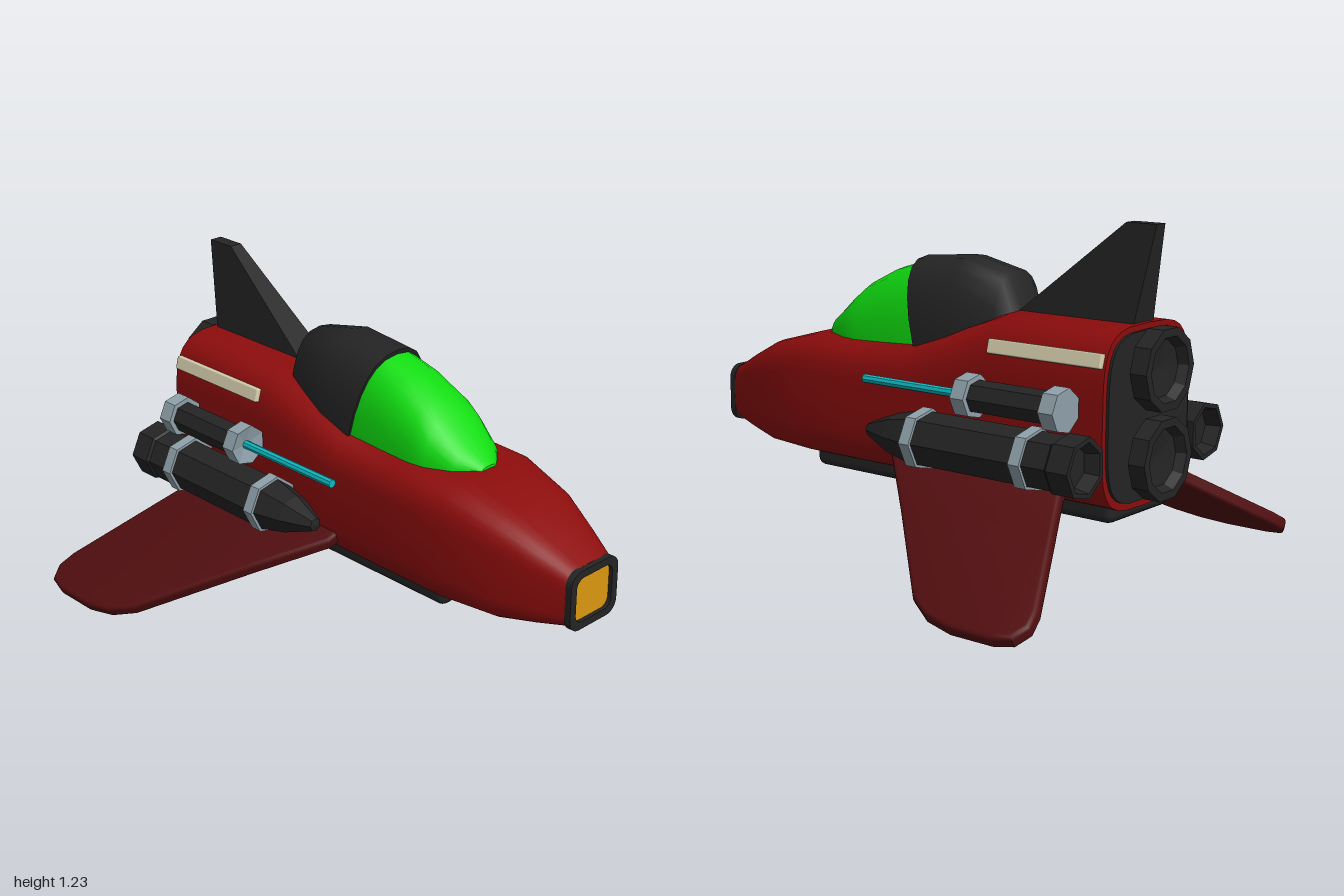
import * as THREE from 'three';
import { toCreasedNormals } from 'three/addons/utils/BufferGeometryUtils.js';
import { RoundedBoxGeometry } from 'three/addons/geometries/RoundedBoxGeometry.js';

const mat = (name, color) => {
  const m = new THREE.MeshStandardMaterial({ color });
  m.name = name;
  return m;
};

// Closed loft along x. Each section: [x, lean, halfWidth, bottom, middle, top]
function loft(sections, power, sides = 24) {
  const pos = [], idx = [];
  const ring = ([x, lean, hw, bottom, mid, top]) => {
    for (let j = 0; j < sides; j++) {
      const a = (j / sides) * Math.PI * 2, c = Math.cos(a), s = Math.sin(a);
      const k = (v) => Math.sign(v) * Math.pow(Math.abs(v), 2 / power);
      const y = mid + k(s) * (s > 0 ? top - mid : mid - bottom);
      pos.push(x + lean * (y - mid), y, hw * k(c));
    }
  };
  sections.forEach(ring);
  for (let i = 0; i < sections.length - 1; i++) {
    for (let j = 0; j < sides; j++) {
      const n = (j + 1) % sides;
      const a = i * sides + j, b = a + sides, c = i * sides + n, d = c + sides;
      idx.push(a, b, c, b, d, c);
    }
  }
  // flat end caps on their own vertices
  [sections[0], sections[sections.length - 1]].forEach((sec, end) => {
    const base = pos.length / 3;
    ring(sec);
    for (let j = 1; j < sides - 1; j++) {
      if (end) idx.push(base, base + j + 1, base + j);
      else idx.push(base, base + j, base + j + 1);
    }
  });
  const g = new THREE.BufferGeometry();
  g.setAttribute('position', new THREE.Float32BufferAttribute(pos, 3));
  g.setIndex(idx);
  g.computeVertexNormals();
  return g;
}

// Faceted solid of revolution about x; profile points are [x, radius], back to front
function turned(profile, sides) {
  const g = new THREE.LatheGeometry(profile.map(([x, r]) => new THREE.Vector2(r, x)), sides)
    .rotateZ(-Math.PI / 2).toNonIndexed();
  g.computeVertexNormals();
  return g;
}
const tube = (x0, x1, r, sides) => turned([[x0, 0], [x0, r], [x1, r], [x1, 0]], sides);

function roundedRect(hw, hh, r, Type = THREE.Shape) {
  const p = new Type();
  p.absarc(hw - r, hh - r, r, 0, Math.PI / 2);
  p.absarc(r - hw, hh - r, r, Math.PI / 2, Math.PI);
  p.absarc(r - hw, r - hh, r, Math.PI, Math.PI * 1.5);
  p.absarc(hw - r, r - hh, r, Math.PI * 1.5, Math.PI * 2);
  p.closePath();
  return p;
}

export function createModel() {
  const model = new THREE.Group();
  model.name = 'spaceship';
  const red = mat('hull red', 0x8c0c0c), darkRed = mat('wing dark red', 0x520e10);
  const black = mat('charcoal', 0x242424), green = mat('canopy green', 0x10dc10);
  const steel = mat('steel', 0x8fa1aa), cyan = mat('barrel cyan', 0x0fb9c1);
  const cream = mat('stripe cream', 0xd9d1b0), orange = mat('nose orange', 0xdc980f);

  const add = (name, geometry, material, parent = model) => {
    const m = new THREE.Mesh(geometry, material);
    m.name = name;
    parent.add(m);
    return m;
  };

  // Hull
  add('hull', loft([
    [-0.89, 0, 0.26, 0.285, 0.58, 0.91],
    [-0.4, 0, 0.26, 0.285, 0.58, 0.91],
    [-0.02, 0, 0.26, 0.285, 0.53, 0.77],
    [0.25, 0, 0.26, 0.285, 0.52, 0.757],
    [0.5, 0, 0.258, 0.285, 0.515, 0.75],
    [0.72, 0, 0.217, 0.29, 0.49, 0.69],
    [0.86, 0, 0.167, 0.315, 0.465, 0.622],
    [0.98, 0, 0.12, 0.34, 0.448, 0.56],
  ], 4, 32), red);
  add('rearPlate', loft([
    [-0.9, 0, 0.24, 0.31, 0.58, 0.89],
    [-0.885, 0, 0.24, 0.31, 0.58, 0.89],
  ], 4, 32), black);
  add('keel', new RoundedBoxGeometry(1.35, 0.09, 0.36, 2, 0.03), black).position.set(-0.2, 0.29, 0);

  // Nose frame with recessed light
  const frame = roundedRect(0.122, 0.112, 0.05);
  frame.holes.push(roundedRect(0.093, 0.084, 0.035, THREE.Path));
  add('noseFrame', new THREE.ExtrudeGeometry(frame, { depth: 0.025, bevelEnabled: false, curveSegments: 4 })
    .rotateY(Math.PI / 2), black).position.set(0.975, 0.447, 0);
  add('noseLight', new THREE.ShapeGeometry(roundedRect(0.1, 0.09, 0.035), 4)
    .rotateY(Math.PI / 2), orange).position.set(0.985, 0.447, 0);

  // Canopy: dark rear shell and green glass, meeting on a leaning seam
  add('canopyShell', loft([
    [-0.39, 0, 0.11, 0.7, 0.74, 0.92],
    [-0.34, 0, 0.15, 0.7, 0.74, 1.04],
    [-0.15, 0, 0.18, 0.7, 0.74, 1.08],
    [-0.01, 0.25, 0.176, 0.7, 0.74, 1.06],
  ], 2.5), black);
  add('canopyGlass', loft([
    [-0.02, 0.25, 0.168, 0.7, 0.735, 1.045],
    [0.14, 0.12, 0.168, 0.7, 0.735, 1.01],
    [0.29, 0, 0.166, 0.7, 0.735, 0.95],
    [0.35, 0, 0.157, 0.7, 0.735, 0.9],
    [0.45, 0, 0.115, 0.7, 0.735, 0.815],
    [0.515, 0, 0.04, 0.7, 0.735, 0.757],
  ], 2.5), green);

  // Tail fin, thinning towards the top
  const finShape = new THREE.Shape([[-0.865, 0.88], [-0.36, 0.88], [-0.81, 1.24], [-0.93, 1.24]]
    .map(([x, y]) => new THREE.Vector2(x, y)));
  const fin = new THREE.ExtrudeGeometry(finShape, { depth: 2, bevelEnabled: false }).translate(0, 0, -1);
  const fp = fin.attributes.position;
  for (let i = 0; i < fp.count; i++) {
    fp.setZ(i, fp.getZ(i) * THREE.MathUtils.mapLinear(fp.getY(i), 0.88, 1.24, 0.062, 0.025));
  }
  fin.computeVertexNormals();
  add('tailFin', fin, black);

  // Two main engines, one above the other
  for (const y of [0.76, 0.455]) {
    add('mainEngine', turned([[-0.93, 0], [-0.945, 0.1], [-0.98, 0.115], [-0.98, 0.145],
      [-0.915, 0.145], [-0.91, 0.115], [-0.885, 0.115]], 10), black).position.y = y;
  }

  // Wing outline: x along the ship, y along the span
  const wingShape = new THREE.Shape([[-0.73, -0.08], [-0.02, -0.08], [0.01, -0.04], [0, 0.02],
    [-0.21, 0.245], [-0.53, 0.6], [-0.62, 0.655], [-0.73, 0.68], [-0.9, 0.68], [-0.97, 0.66],
    [-1, 0.6], [-0.985, 0.53], [-0.85, 0.235], [-0.76, 0.04]].map(([x, y]) => new THREE.Vector2(x, y)));
  const wing = toCreasedNormals(new THREE.ExtrudeGeometry(wingShape, {
    depth: 0.018, bevelThickness: 0.016, bevelSize: 0.016, bevelOffset: -0.016, bevelSegments: 3,
  }).translate(0, 0, -0.009), 0.7);

  // Everything carried on both flanks
  for (const side of [1, -1]) {
    const w = add('wing', wing, darkRed);
    w.position.set(0, 0.365, side * 0.26);
    w.rotation.x = side * Math.PI * 2 / 3;

    const stripe = add('sideStripe', new RoundedBoxGeometry(0.47, 0.052, 0.024, 1, 0.006), cream);
    stripe.position.set(-0.645, 0.81, side * 0.248);
    stripe.rotation.x = -side * 0.26;

    // Rocket pod with cupped nozzle and two clamps
    const pod = new THREE.Group();
    pod.name = 'rocketPod';
    pod.position.set(0, 0.48, side * 0.37);
    if (side < 0) pod.rotation.x = Math.PI;
    add('podBody', turned([[-0.85, 0], [-0.85, 0.075], [-0.905, 0.088], [-0.905, 0.106], [-0.82, 0.106],
      [-0.81, 0.098], [-0.2, 0.098], [-0.09, 0.072], [0.025, 0.025], [0.03, 0]], 7), black, pod);
    for (const x of [-0.715, -0.245]) add('podClamp', tube(x, x + 0.045, 0.109, 7), steel, pod);
    model.add(pod);

    // Gun above the pod
    const gun = new THREE.Group();
    gun.name = 'gun';
    gun.position.set(0, 0.65, side * 0.336);
    if (side < 0) gun.rotation.x = Math.PI;
    add('gunBody', tube(-0.78, -0.4, 0.058, 7), black, gun);
    add('gunRearRing', tube(-0.8, -0.74, 0.077, 7), steel, gun);
    add('gunFrontRing', turned([[-0.43, 0], [-0.43, 0.077], [-0.372, 0.077], [-0.39, 0]], 7), steel, gun);
    add('gunBarrel', tube(-0.4, 0.08, 0.016, 8), cyan, gun);
    model.add(gun);
  }
  return model;
}
